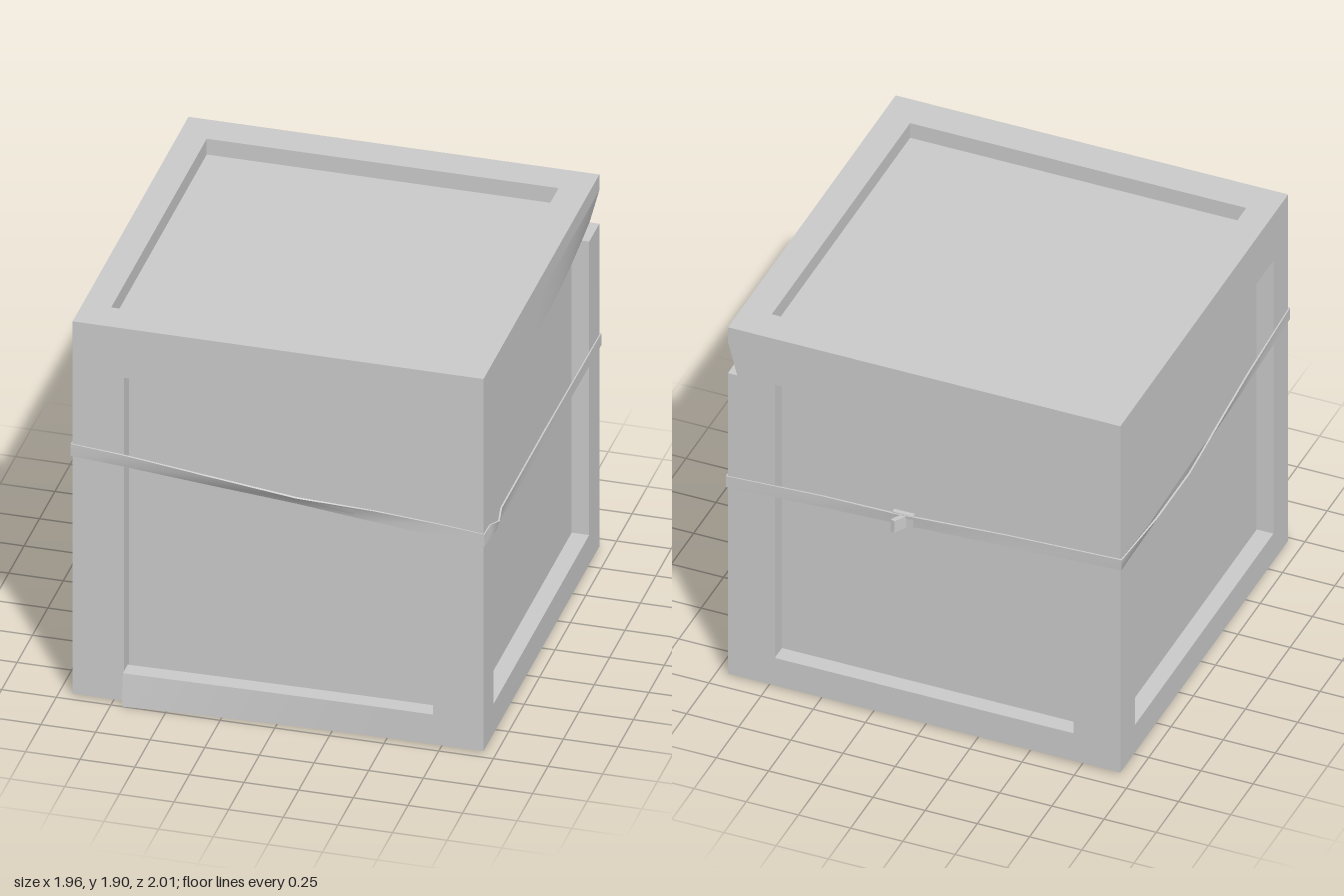
import * as THREE from 'three';
import { toCreasedNormals } from 'three/addons/utils/BufferGeometryUtils.js';

const X0 = -0.935, X1 = 0.945, Z0 = -0.915, Z1 = 0.965, H = 1.9; // crate limits
const D = 0.08;             // panel recess depth
const Y0 = 0.16, Y1 = 1.65; // side panel opening heights
const material = new THREE.MeshStandardMaterial({ color: 0xcccccc });

// Board given by its limits, optionally subdivided and bent by a rule.
function board(parent, name, [x0, x1], [y0, y1], [z0, z1], bend, segs = [1, 1, 1]) {
  let g = new THREE.BoxGeometry(x1 - x0, y1 - y0, z1 - z0, ...segs);
  g.translate((x0 + x1) / 2, (y0 + y1) / 2, (z0 + z1) / 2);
  if (bend) {
    const p = g.attributes.position, v = new THREE.Vector3();
    for (let i = 0; i < p.count; i++) {
      bend(v.fromBufferAttribute(p, i));
      p.setXYZ(i, v.x, v.y, v.z);
    }
    g = toCreasedNormals(g, 0.6);
  }
  const mesh = new THREE.Mesh(g, material);
  mesh.name = name;
  parent.add(mesh);
  return mesh;
}

function group(parent, name) {
  const g = new THREE.Group();
  g.name = name;
  parent.add(g);
  return g;
}

// Strap rows: x, z, y, tilt, outward x, outward z
const STRAP = [
  [X0, Z1, 1.25, 0, -0.7, 0.7],
  [-0.7, Z1, 1.235, 0.1, 0, 1],
  [-0.3, Z1, 1.2, 0.4, 0, 1],
  [0.1, Z1, 1.165, 0.65, 0, 1],
  [0.45, Z1, 1.132, 0.15, 0, 1],
  [0.75, Z1, 1.105, 0, 0, 1],
  [X1, Z1, 1.085, 0, 0.7, 0.7],
  [X1, 0.88, 1.085, -0.1, 1, 0],
  [X1, 0.81, 1.07, 0.35, 1, 0],
  [X1, 0.72, 1.083, 0.1, 1, 0],
  [X1, 0, 1.073, 0, 1, 0],
  [X1, Z0, 1.06, 0, 0.7, -0.7],
  [0.5, Z0, 1.085, 0, 0, -1],
  [0.13, Z0, 1.1, 0.2, 0, -1],
  [-0.4, Z0, 1.125, 0, 0, -1],
  [X0, Z0, 1.15, 0.1, -0.7, -0.7],
  [X0, -0.6, 1.175, 0.6, -1, 0],
  [X0, -0.25, 1.19, 0.75, -1, 0],
  [X0, 0.1, 1.2, 0.4, -1, 0],
  [X0, 0.5, 1.22, 0.1, -1, 0],
  [X0, Z1, 1.25, 0, -0.7, 0.7],
];

// Thin rectangular section swept around the crate
function strapGeometry() {
  const half = 0.03, thick = 0.008, pos = [], index = [];
  for (const [x, z, y, tilt, nx, nz] of STRAP) {
    const s = Math.sin(tilt), c = Math.cos(tilt);
    const base = half * Math.abs(s) + 0.006;
    for (const [u, t] of [[-1, 1], [1, 1], [1, -1], [-1, -1]]) {
      const out = base + u * half * s + t * thick / 2 * c;
      pos.push(x + nx * out, y + u * half * c - t * thick / 2 * s, z + nz * out);
    }
  }
  for (let i = 0; i < STRAP.length - 1; i++) {
    for (let k = 0; k < 4; k++) {
      const a = i * 4 + k, d = i * 4 + (k + 1) % 4;
      index.push(a, a + 4, d + 4, a, d + 4, d);
    }
  }
  const g = new THREE.BufferGeometry();
  g.setAttribute('position', new THREE.Float32BufferAttribute(pos, 3));
  g.setIndex(index);
  return toCreasedNormals(g, 0.7);
}

export function createModel() {
  const model = new THREE.Group();
  model.name = 'crate';

  // Inner box whose faces are the recessed panels
  board(model, 'panels', [X0 + D, X1 - D], [0.01, H - D], [Z0 + D, Z1 - D]);

  // Lid frame
  const lid = group(model, 'lidFrame');
  const lidY = [H - D, H];
  board(lid, 'lidLeftBoard', [0.805, X1], lidY, [Z0, Z1]);
  board(lid, 'lidRightBoard', [X0, -0.805], lidY, [Z0, Z1]);
  board(lid, 'lidFrontBoard', [-0.805, 0.805], lidY, [0.8, Z1]);
  board(lid, 'lidBackBoard', [-0.805, 0.805], lidY, [Z0, -0.75]);

  // Front frame, with the lower rail springing loose at one end
  const front = group(model, 'frontFrame');
  const fz = [Z1 - D, Z1];
  board(front, 'frontRightPost', [X0, -0.7], [0.01, H], fz);
  board(front, 'frontLeftPost', [0.715, X1], [0.01, H], fz);
  board(front, 'frontTopRail', [-0.7, 0.715], [Y1, H], fz);
  board(front, 'frontLooseRail', [-0.7, X1], [0, Y0], fz, (v) => {
    const k = Math.max(0, (0.6 - v.x) / 1.3) ** 1.5;
    v.z += k * (0.035 - 0.1 * v.y);
    if (v.y < 0.01) v.y = 0.01 * (1 - k);
  }, [12, 1, 1]);

  // Back frame, its top rail stopping short of the left side board
  const back = group(model, 'backFrame');
  const bz = [Z0, Z0 + D];
  board(back, 'backRightPost', [X0, -0.71], [0.01, H], bz);
  board(back, 'backLeftPost', [0.72, X1], [0.01, Y1], bz);
  board(back, 'backTopRail', [-0.71, 0.88], [Y1, H], bz);
  board(back, 'backBottomRail', [-0.71, 0.72], [0.01, Y0], bz);

  // Side frames; the left top rail twists inward towards the back
  for (const side of ['left', 'right']) {
    const frame = group(model, side + 'Frame');
    const isLeft = side === 'left';
    const sx = isLeft ? [X1 - D, X1] : [X0, X0 + D];
    board(frame, side + 'FrontPost', sx, [0.01, Y1], [0.8, Z1]);
    board(frame, side + 'BackPost', sx, [0.01, Y1], [Z0, -0.75]);
    board(frame, side + 'BottomRail', sx, [0.01, Y0], [-0.75, 0.8]);
    const twist = (v) => {
      const k = THREE.MathUtils.clamp((0.2 - v.z) / 1.1, 0, 1);
      v.x -= 0.045 * k * k * Math.max(0, (H - D - v.y) / (H - D - Y1));
    };
    board(frame, side + 'TopRail', sx, [Y1, H - (isLeft ? D : 0)], [Z0, Z1],
      isLeft ? twist : null, isLeft ? [1, 4, 12] : [1, 1, 1]);
  }

  // Twisted strap with a knot and loose end at the back
  const strapMaterial = material.clone();
  strapMaterial.side = THREE.DoubleSide;
  const strap = new THREE.Mesh(strapGeometry(), strapMaterial);
  strap.name = 'strap';
  model.add(strap);
  board(model, 'strapKnot', [0.05, 0.15], [1.065, 1.135], [-0.932, -0.91]);
  const end = board(model, 'strapLooseEnd', [-0.012, 0.012], [-0.03, 0.03], [-0.045, 0.045]);
  end.position.set(0.105, 1.1, -0.953);
  end.rotation.set(0.1, -0.4, 0);
  return model;
}
